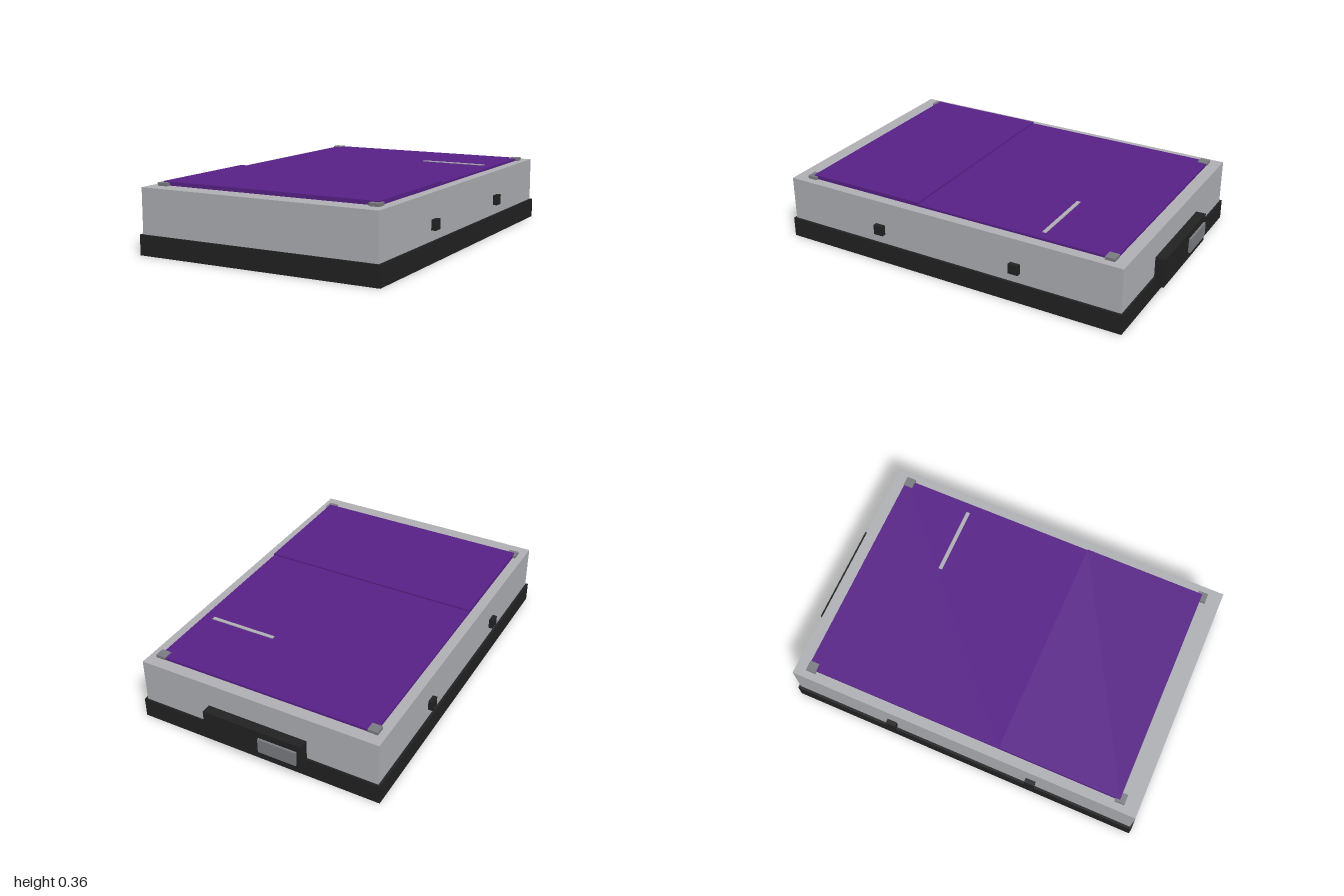
import * as THREE from 'three';

export function createModel() {
  const model = new THREE.Group();
  model.name = 'enclosure';

  const material = (name, color) => {
    const m = new THREE.MeshStandardMaterial({ color });
    m.name = name;
    return m;
  };
  const black = material('black', 0x222223);
  const silver = material('silver', 0xb0b1b6);
  const grey = material('grey', 0x7b7d82);
  const purple = material('purple', 0x582188);

  // Box given by its extents along each axis
  const box = (name, mat, [x0, x1], [y0, y1], [z0, z1]) => {
    const mesh = new THREE.Mesh(new THREE.BoxGeometry(x1 - x0, y1 - y0, z1 - z0), mat);
    mesh.position.set((x0 + x1) / 2, (y0 + y1) / 2, (z0 + z1) / 2);
    mesh.name = name;
    model.add(mesh);
  };

  // Tray and case
  box('baseTray', black, [-0.673, 0.673], [0, 0.106], [-0.945, 1]);
  box('caseBody', silver, [-0.66, 0.66], [0.106, 0.343], [-0.935, 0.99]);

  // Lid panels, the front one slightly raised
  box('rearLidPanel', purple, [-0.606, 0.606], [0.343, 0.355], [-0.87, 0.222]);
  box('frontLidPanel', purple, [-0.606, 0.606], [0.343, 0.364], [0.222, 0.885]);
  box('lidSlotStrip', silver, [0.183, 0.553], [0.35, 0.359], [-0.48, -0.46]);

  // Corner pads and side clips, mirrored left and right
  for (const side of [-1, 1]) {
    const span = (a, b) => (side > 0 ? [a, b] : [-b, -a]);
    for (const z of [-0.847, 0.888]) {
      box('cornerPad', grey, span(0.567, 0.621), [0.343, 0.359], [z - 0.026, z + 0.026]);
    }
    for (const z of [-0.37, 0.425]) {
      box('sideClip', black, span(0.655, 0.684), [0.16, 0.213], [z - 0.027, z + 0.027]);
    }
  }

  // Rear connector block with its port
  box('rearConnector', black, [-0.278, 0.275], [0.055, 0.212], [-0.988, -0.93]);
  box('connectorPort', grey, [-0.253, -0.043], [0.095, 0.175], [-1, -0.985]);

  return model;
}
